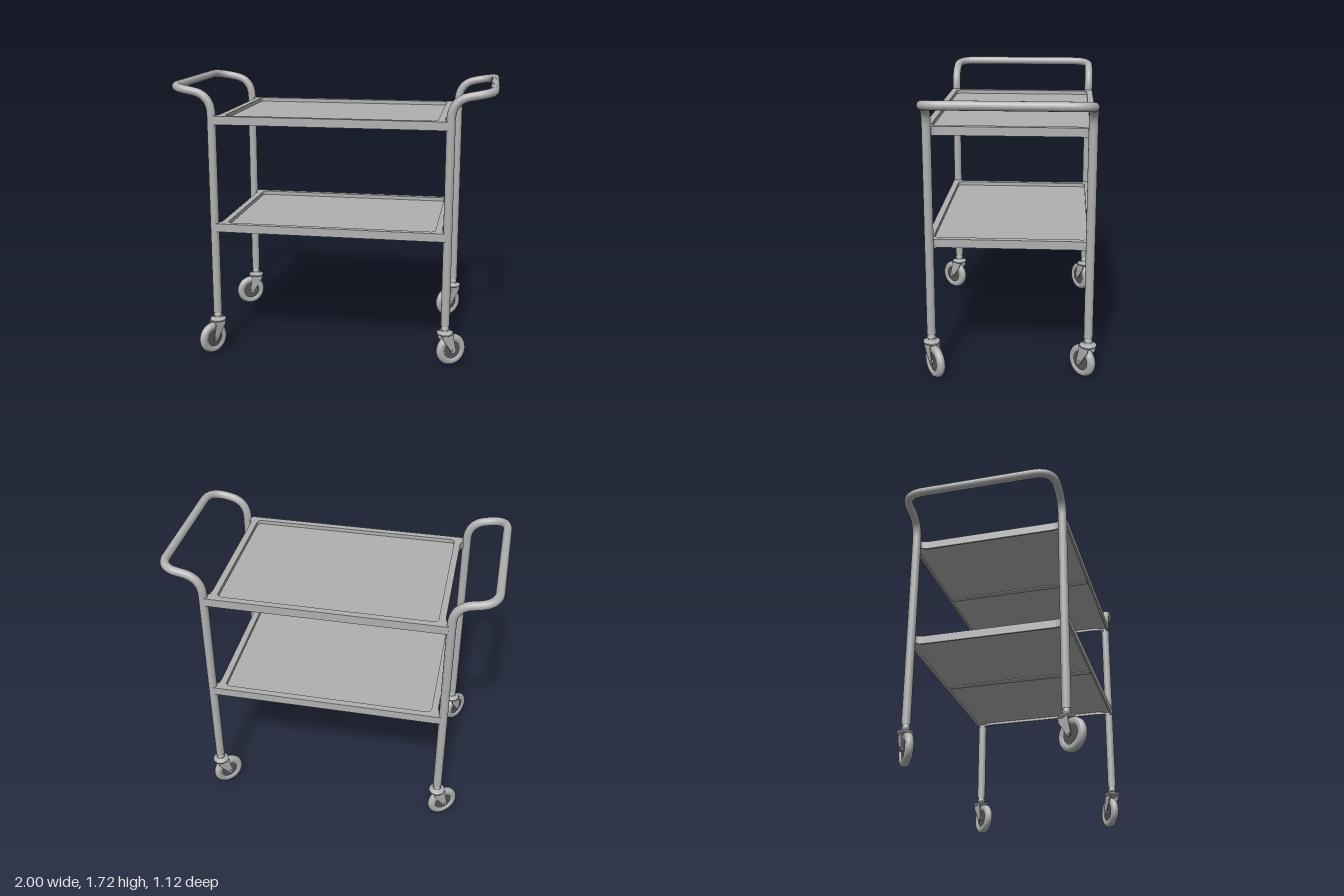
import * as THREE from 'three';

const metal = new THREE.MeshStandardMaterial({ color: 0xb0b0b0 });
metal.name = 'grey metal';
const dark = new THREE.MeshStandardMaterial({ color: 0x555555 });
dark.name = 'dark hub';

const MID_Z = -0.043; // middle of the frame in z
const LEG_X = 0.727;
const LEG_Z = 0.472;
const V = (x, y, z) => new THREE.Vector3(x, y, z);

function add(parent, name, geometry, material = metal) {
  const mesh = new THREE.Mesh(geometry, material);
  mesh.name = name;
  parent.add(mesh);
  return mesh;
}

// One end of the frame: two legs and the push handle bent from a single tube
function endFrame(side) {
  const p = (x, y, z) => V(side * x, y, z);
  const path = new THREE.CurvePath();
  const half = (s) => [
    new THREE.LineCurve3(p(LEG_X, 0.262, s * LEG_Z), p(LEG_X, 1.53, s * LEG_Z)),
    new THREE.QuadraticBezierCurve3(p(LEG_X, 1.53, s * LEG_Z), p(LEG_X, 1.65, s * LEG_Z), p(0.835, 1.672, s * LEG_Z)),
    new THREE.LineCurve3(p(0.835, 1.672, s * LEG_Z), p(0.865, 1.678, s * LEG_Z)),
    new THREE.QuadraticBezierCurve3(p(0.865, 1.678, s * LEG_Z), p(0.973, 1.697, s * LEG_Z), p(0.973, 1.697, s * 0.35)),
  ];
  half(1).forEach((c) => path.add(c));
  path.add(new THREE.LineCurve3(p(0.973, 1.697, 0.35), p(0.973, 1.697, -0.35)));
  half(-1).reverse().forEach((c) => {
    if (c.isLineCurve3) path.add(new THREE.LineCurve3(c.v2, c.v1));
    else path.add(new THREE.QuadraticBezierCurve3(c.v2, c.v1, c.v0));
  });
  return new THREE.TubeGeometry(path, 260, 0.027, 16, false);
}

// Tray outline, flaring slightly where its corners meet the legs
function trayOutline(Type, inset) {
  const x = 0.69 - inset, c = 0.715 - inset, z = 0.497 - inset;
  const s = new Type();
  s.moveTo(-c, -z);
  s.lineTo(c, -z);
  s.lineTo(c, -z + 0.04);
  s.quadraticCurveTo(x, -z + 0.05, x, -z + 0.1);
  s.lineTo(x, z - 0.1);
  s.quadraticCurveTo(x, z - 0.05, c, z - 0.04);
  s.lineTo(c, z);
  s.lineTo(-c, z);
  s.lineTo(-c, z - 0.04);
  s.quadraticCurveTo(-x, z - 0.05, -x, z - 0.1);
  s.lineTo(-x, -z + 0.1);
  s.quadraticCurveTo(-x, -z + 0.05, -c, -z + 0.04);
  s.closePath();
  return s;
}

function roundedRect(Type, w, h, r) {
  const s = new Type();
  s.moveTo(-w + r, -h);
  s.lineTo(w - r, -h);
  s.absarc(w - r, -h + r, r, -Math.PI / 2, 0);
  s.lineTo(w, h - r);
  s.absarc(w - r, h - r, r, 0, Math.PI / 2);
  s.lineTo(-w + r, h);
  s.absarc(-w + r, h - r, r, Math.PI / 2, Math.PI);
  s.lineTo(-w, -h + r);
  s.absarc(-w + r, -h + r, r, Math.PI, Math.PI * 1.5);
  return s;
}

// Lays a flat shape down, with its top face at the given height
function slab(shape, top, depth) {
  return new THREE.ExtrudeGeometry(shape, { depth, bevelEnabled: false, curveSegments: 6 })
    .rotateX(Math.PI / 2).translate(0, top, 0);
}

function tray(name, top) {
  const g = new THREE.Group();
  g.name = name;
  // raised rim around the recessed panel
  const rim = trayOutline(THREE.Shape, 0);
  rim.holes.push(roundedRect(THREE.Path, 0.65, 0.457, 0.03));
  add(g, 'trayRim', slab(rim, top, 0.035));
  add(g, 'trayPanel', slab(roundedRect(THREE.Shape, 0.65, 0.457, 0.03), top - 0.024, 0.011));
  // folded skirt below
  const skirt = trayOutline(THREE.Shape, 0);
  skirt.holes.push(trayOutline(THREE.Path, 0.012));
  add(g, 'traySkirt', slab(skirt, top - 0.035, 0.017));
  // stiffener across the underside
  add(g, 'trayRib', new THREE.BoxGeometry(0.035, 0.008, 0.96)).position.y = top - 0.038;
  return g;
}

// Fork cheek: wide at the swivel, rounded at the axle
function forkCheek(trail) {
  const s = new THREE.Shape();
  s.moveTo(-0.035, 0.207);
  s.lineTo(-0.03, 0.18);
  s.lineTo(trail - 0.018, 0.1);
  s.absarc(trail, 0.1, 0.018, Math.PI, Math.PI * 2);
  s.lineTo(0.045, 0.18);
  s.lineTo(0.045, 0.207);
  s.closePath();
  return new THREE.ExtrudeGeometry(s, { depth: 0.006, bevelEnabled: false, curveSegments: 8 })
    .rotateY(-Math.PI / 2).translate(0.003, 0, 0);
}

// Swivel caster whose wheel trails along local +z
function caster() {
  const g = new THREE.Group();
  g.name = 'caster';
  const trail = 0.045;
  const stem = [[0, 0.27], [0.021, 0.27], [0.021, 0.25], [0.026, 0.248], [0.026, 0.238], [0.02, 0.234],
    [0.02, 0.222], [0.05, 0.22], [0.05, 0.208], [0.03, 0.2], [0, 0.2]];
  add(g, 'swivelStem', new THREE.LatheGeometry(stem.reverse().map(([r, y]) => new THREE.Vector2(r, y)), 20));
  add(g, 'forkCrown', new THREE.BoxGeometry(0.07, 0.008, 0.08)).position.set(0, 0.204, 0.005);
  for (const s of [-1, 1]) add(g, 'forkCheek', forkCheek(trail)).position.x = s * 0.032;

  const wheel = new THREE.Group();
  wheel.name = 'wheel';
  wheel.position.set(0, 0.1, trail);
  wheel.rotation.z = Math.PI / 2;
  const tyre = [[0.057, -0.016], [0.06, -0.024], [0.08, -0.026], [0.092, -0.02], [0.099, -0.009], [0.1, 0],
    [0.099, 0.009], [0.092, 0.02], [0.08, 0.026], [0.06, 0.024], [0.057, 0.016]];
  add(wheel, 'tyre', new THREE.LatheGeometry(tyre.map(([r, y]) => new THREE.Vector2(r, y)), 32));
  add(wheel, 'hub', new THREE.CylinderGeometry(0.058, 0.058, 0.034, 28), dark);
  add(wheel, 'axle', new THREE.CylinderGeometry(0.01, 0.01, 0.076, 12));
  g.add(wheel);
  return g;
}

export function createModel() {
  const model = new THREE.Group();
  model.name = 'serviceTrolley';
  const body = new THREE.Group();
  body.name = 'body';
  body.position.z = MID_Z;
  model.add(body);

  for (const side of [-1, 1]) add(body, side > 0 ? 'leftEndFrame' : 'rightEndFrame', endFrame(side));
  body.add(tray('upperTray', 1.527), tray('lowerTray', 0.852));

  // corner signs and the direction each wheel trails
  const casters = [[1, 1, 0.82, -0.57], [-1, 1, -0.56, 0.83], [-1, -1, -0.82, 0.57], [1, -1, -0.72, 0.69]];
  for (const [sx, sz, dx, dz] of casters) {
    const c = caster();
    c.position.set(sx * LEG_X, 0, sz * LEG_Z);
    c.rotation.y = Math.atan2(dx, dz);
    body.add(c);
  }
  return model;
}
